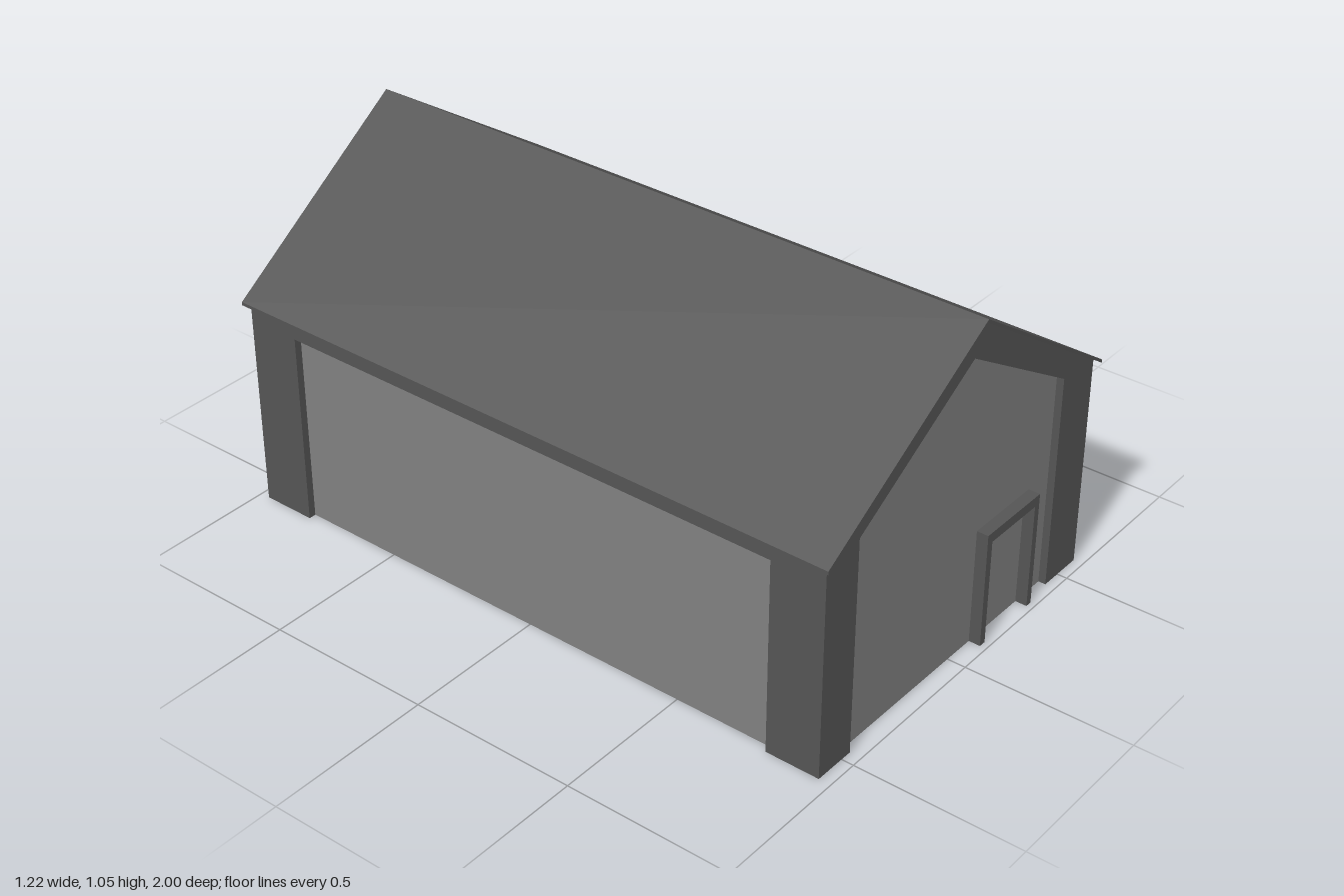
import * as THREE from 'three';

const W = 0.59, L = 0.967;       // half width and half length of the walls
const SLOPE = 0.67, RECESS = 0.022;
const RIDGE = 1.05, UNDER = 1.04; // top and underside of the ridge

export function createModel() {
  const dark = new THREE.MeshStandardMaterial({ color: 0x555555, side: THREE.DoubleSide });
  dark.name = 'darkGrey';
  const light = new THREE.MeshStandardMaterial({ color: 0x808080, side: THREE.DoubleSide });
  light.name = 'lightGrey';

  const model = new THREE.Group();
  model.name = 'barn';

  const add = (parent, name, geometry, material) => {
    const mesh = new THREE.Mesh(geometry, material);
    mesh.name = name;
    parent.add(mesh);
    return mesh;
  };
  const shape = (pts) => new THREE.Shape(pts.map(([x, y]) => new THREE.Vector2(x, y)));

  // Thin strip that joins the frame to the recessed panel
  const returnStrip = (pts, depth) => {
    const pos = [], idx = [];
    for (let i = 0; i + 1 < pts.length; i++) {
      const [a, b] = [pts[i], pts[i + 1]], n = pos.length / 3;
      pos.push(...a, 0, ...b, 0, ...b, -depth, ...a, -depth);
      idx.push(n, n + 2, n + 1, n, n + 3, n + 2);
    }
    const g = new THREE.BufferGeometry();
    g.setAttribute('position', new THREE.Float32BufferAttribute(pos, 3));
    g.setIndex(idx);
    g.computeVertexNormals();
    return g;
  };

  // Wall facing +z: outline and opening both run from bottom left over the top to bottom right
  const wall = (name, outline, opening, angle, distance) => {
    const group = new THREE.Group();
    group.name = name;
    add(group, name + 'Frame', new THREE.ShapeGeometry(shape([...outline, ...[...opening].reverse()])), dark);
    add(group, name + 'Reveal', returnStrip(opening, RECESS), dark);
    add(group, name + 'Panel', new THREE.ShapeGeometry(shape(opening)), light).position.z = -RECESS;
    group.rotation.y = angle;
    group.position.set(Math.sin(angle) * distance, 0, Math.cos(angle) * distance);
    model.add(group);
  };

  // Gable walls, the back one mirrored
  const eaveY = UNDER - SLOPE * W;
  const gable = [[-W, 0], [-W, eaveY], [0, UNDER], [W, eaveY], [W, 0]];
  const gableOpening = [[-0.46, 0], [-0.46, 0.65], [0, 0.928], [0.445, 0.655], [0.445, 0]];
  const mirrored = gableOpening.map(([x, y]) => [-x, y]).reverse();
  wall('frontWall', gable, gableOpening, 0, L);
  wall('backWall', gable, mirrored, Math.PI, L);

  // Long side walls
  const side = [[-L, 0], [-L, eaveY], [L, eaveY], [L, 0]];
  const sideOpening = [[-0.803, 0], [-0.803, 0.585], [0.803, 0.585], [0.803, 0]];
  wall('leftWall', side, sideOpening, Math.PI / 2, W);
  wall('rightWall', side, sideOpening, -Math.PI / 2, W);

  // Roof: thin chevron whose ends reach further out at the ridge
  const E = 0.607, H = 0.998;
  const roof = new THREE.ExtrudeGeometry(shape([
    [-E, UNDER - SLOPE * E], [0, UNDER], [E, UNDER - SLOPE * E],
    [E, RIDGE - SLOPE * E], [0, RIDGE], [-E, RIDGE - SLOPE * E],
  ]), { depth: 2 * H, bevelEnabled: false });
  roof.translate(0, 0, -H);
  const p = roof.attributes.position;
  for (let i = 0; i < p.count; i++) {
    p.setZ(i, Math.sign(p.getZ(i)) * (H - 0.015 * Math.abs(p.getX(i)) / E));
  }
  roof.computeVertexNormals();
  add(model, 'roof', roof, dark);

  // Door surround standing proud of the front panel
  const door = new THREE.ExtrudeGeometry(shape([
    [0.105, 0], [0.105, 0.352], [0.35, 0.352], [0.35, 0],
    [0.33, 0], [0.33, 0.322], [0.127, 0.322], [0.127, 0],
  ]), { depth: 0.035, bevelEnabled: false });
  add(model, 'doorFrame', door, dark).position.z = L - RECESS;

  // The building sits turned by a hair
  const root = new THREE.Group();
  root.name = 'building';
  model.rotation.y = -0.0055;
  root.add(model);
  return root;
}
